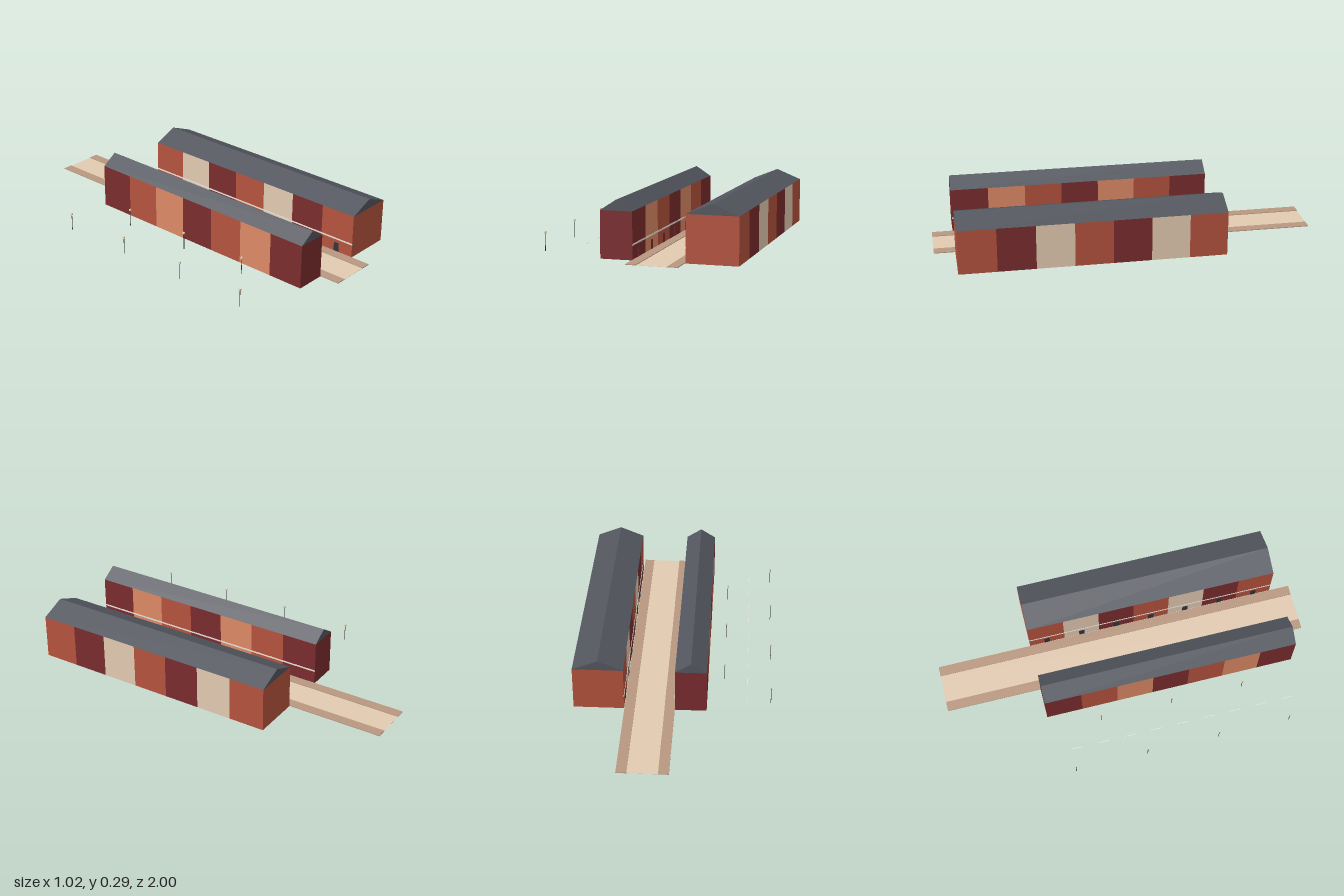
import * as THREE from 'three';

const mat = (name, color) => {
  const m = new THREE.MeshStandardMaterial({ color });
  m.name = name;
  return m;
};

export function createModel() {
  const model = new THREE.Group();
  model.name = 'streetOfTerraces';

  const brick = mat('orangeBrick', 0xb5533e);
  const maroon = mat('maroonBrick', 0x7a2c2e);
  const sand = mat('sandStone', 0xe3cab1);
  const terracotta = mat('terracotta', 0xdd8a66);
  const slate = mat('slate', 0x53565e);
  const paving = mat('paving', 0xb89780);
  const dark = mat('darkIron', 0x33343b);
  const pale = mat('paleStone', 0xe6e2d8);
  const glow = mat('lampGlass', 0xf0dcb4);

  // Box given by its centre in x and z and by its base height
  const box = (parent, name, material, w, h, d, x, y, z) => {
    const mesh = new THREE.Mesh(new THREE.BoxGeometry(w, h, d), material);
    mesh.name = name;
    mesh.position.set(x, y + h / 2, z);
    parent.add(mesh);
  };

  // Road and raised pavements
  box(model, 'road', sand, 0.153, 0.001, 2, 0.117, 0, 0);
  box(model, 'leftPavement', paving, 0.053, 0.004, 2, 0.22, 0, 0);
  box(model, 'rightPavement', paving, 0.053, 0.004, 2, 0.0135, 0, 0);

  // Terraced rows: seven houses under one gabled roof
  const count = 7, front = 0.89, back = -0.485;
  const depth = (front - back) / count;
  const wallTop = 0.236, ridge = 0.289;

  const terrace = (name, x0, x1, streetSide, walls, doors) => {
    const row = new THREE.Group();
    row.name = name;
    const width = x1 - x0, cx = (x0 + x1) / 2;
    const face = streetSide > 0 ? x1 : x0;
    for (let i = 0; i < count; i++) {
      const z = front - depth * (i + 0.5);
      box(row, 'house', walls[i % walls.length], width, wallTop, depth, cx, 0, z);
      box(row, 'door', doors[i % doors.length], 0.003, 0.052, 0.03, face, 0, z);
    }
    // String course along the street wall
    box(row, 'stringCourse', pale, 0.004, 0.008, front - back, face, 0.071, (front + back) / 2);

    const gable = new THREE.Shape();
    gable.moveTo(x0, wallTop);
    gable.lineTo(x1, wallTop);
    gable.lineTo(cx, ridge);
    gable.closePath();
    const roof = new THREE.Mesh(
      new THREE.ExtrudeGeometry(gable, { depth: front - back, bevelEnabled: false }), slate);
    roof.name = 'roof';
    roof.position.z = back;
    row.add(roof);
    model.add(row);
  };
  terrace('rightTerrace', -0.177, -0.014, 1, [maroon, terracotta, brick],
    [maroon, maroon, maroon, maroon, maroon, dark, maroon]);
  terrace('leftTerrace', 0.249, 0.51, -1, [brick, maroon, sand], [dark]);

  // Street lamps, staggered on both sides of the dashed lane
  const lamp = (x, z) => {
    const group = new THREE.Group();
    group.name = 'streetLamp';
    const post = new THREE.Mesh(new THREE.CylinderGeometry(0.0016, 0.0016, 0.09, 6), dark);
    post.name = 'lampPost';
    post.position.y = 0.045;
    group.add(post);
    box(group, 'lampHead', glow, 0.009, 0.01, 0.009, 0, 0.088, 0);
    group.position.set(x, 0, z);
    model.add(group);
  };
  for (let i = 0; i < 4; i++) lamp(-0.507, -0.4 + i * 0.393);
  for (let i = 0; i < 3; i++) lamp(-0.263, -0.204 + i * 0.393);

  // Dashed centre line
  for (let i = 0; i < 9; i++) {
    box(model, 'laneDash', pale, 0.004, 0.0004, 0.059, -0.385, 0, -0.37 + i * 0.1475);
  }

  return model;
}
